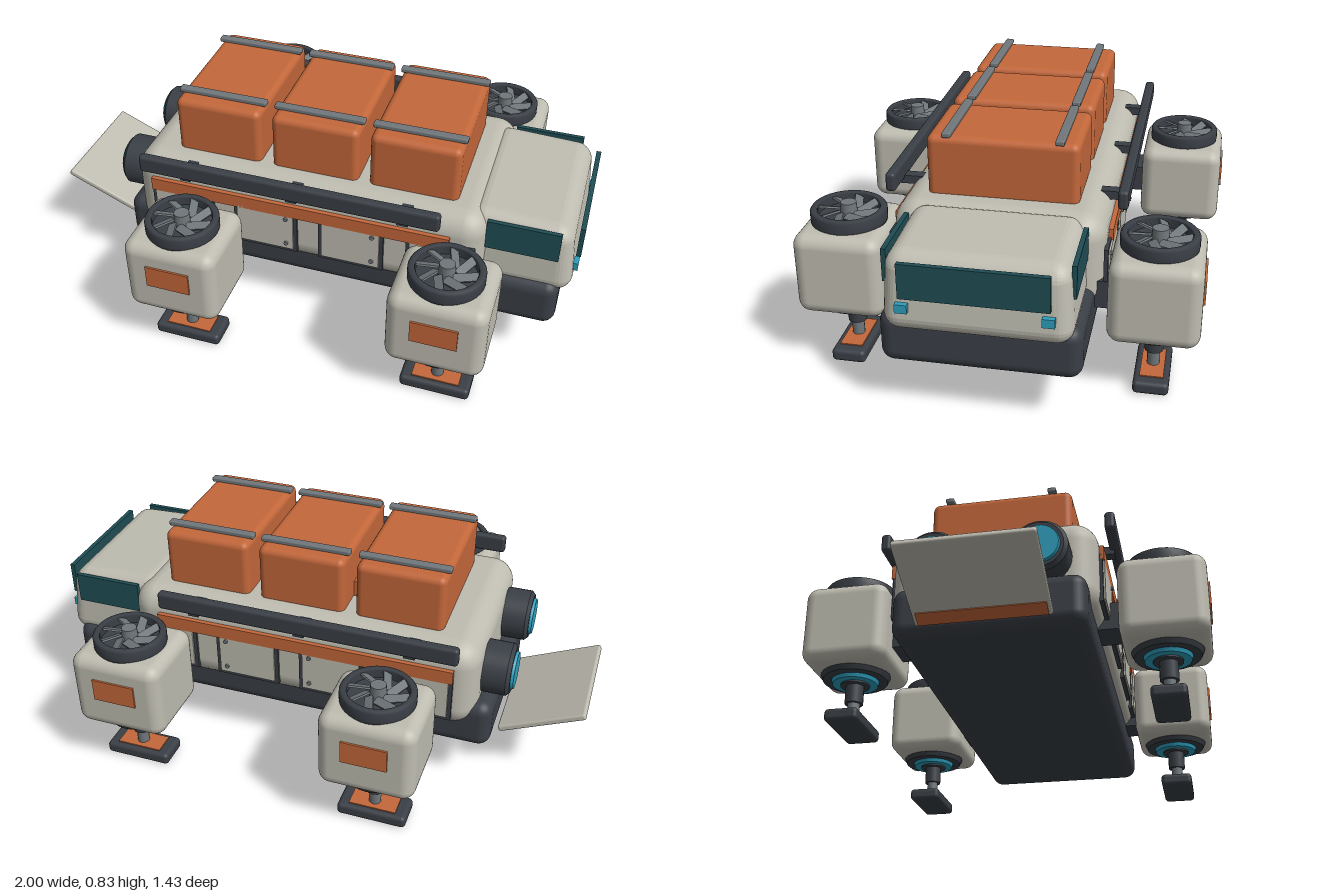
import * as THREE from 'three';
import { RoundedBoxGeometry } from 'three/addons/geometries/RoundedBoxGeometry.js';

const paint = (name, color) => {
  const m = new THREE.MeshStandardMaterial({ color });
  m.name = name;
  return m;
};

export function createModel() {
  const hullPaint = paint('hull off-white', 0xbfbdb1);
  const orange = paint('cargo orange', 0xc3673a);
  const dark = paint('dark graphite', 0x3a3f46);
  const grey = paint('metal grey', 0x70777b);
  const teal = paint('glass teal', 0x1f4d54);
  const cyan = paint('glow cyan', 0x2d9fbd);

  const model = new THREE.Group();
  model.name = 'hoverTransport';

  const add = (parent, name, geo, mat, x, y, z) => {
    const mesh = new THREE.Mesh(geo, mat);
    mesh.name = name;
    mesh.position.set(x, y, z);
    parent.add(mesh);
    return mesh;
  };
  // Rounded or plain box given by its limits on each axis
  const box = (parent, name, mat, [x0, x1], [y0, y1], [z0, z1], r = 0) => {
    const s = [x1 - x0, y1 - y0, z1 - z0];
    const geo = r ? new RoundedBoxGeometry(...s, 4, r) : new THREE.BoxGeometry(...s);
    return add(parent, name, geo, mat, (x0 + x1) / 2, (y0 + y1) / 2, (z0 + z1) / 2);
  };
  const cyl = (parent, name, mat, r0, r1, y0, y1, sides = 32) =>
    add(parent, name, new THREE.CylinderGeometry(r1, r0, y1 - y0, sides), mat, 0, (y0 + y1) / 2, 0);

  // Chassis and main hull
  box(model, 'chassis', dark, [-0.685, 0.945], [0.185, 0.37], [-0.325, 0.325], 0.045);
  box(model, 'hull', hullPaint, [-0.63, 0.68], [0.27, 0.61], [-0.355, 0.355], 0.085);

  // Cab, narrowed slightly toward the roof and sloping down to the nose
  const cab = box(model, 'cab', hullPaint, [0.6, 0.98], [0.325, 0.605], [-0.3, 0.3], 0.055);
  const p = cab.geometry.attributes.position;
  for (let i = 0; i < p.count; i++) {
    const up = Math.max(0, p.getY(i) / 0.14);
    const fore = Math.max(0, p.getX(i) / 0.19);
    p.setXYZ(i, p.getX(i) - 0.025 * up * fore, p.getY(i) - 0.015 * up * fore, p.getZ(i) * (1 - 0.05 * up));
  }
  cab.geometry.computeVertexNormals();

  // Windscreen and headlights
  box(model, 'windscreen', teal, [0.978, 0.995], [0.46, 0.58], [-0.235, 0.235]);
  for (const s of [1, -1]) {
    add(model, 'headlight', new THREE.BoxGeometry(0.025, 0.03, 0.04), cyan, 0.98, 0.422, s * 0.228);
  }

  // Cargo boxes with two straps each
  for (const x of [-0.322, 0.04, 0.4]) {
    box(model, 'cargoBox', orange, [x - 0.16, x + 0.16], [0.59, 0.815], [-0.255, 0.255], 0.025);
    for (const z of [-0.19, 0.185]) {
      box(model, 'cargoStrap', grey, [x - 0.165, x + 0.165], [0.812, 0.83], [z - 0.015, z + 0.015], 0.005);
    }
  }
  box(model, 'cargoHandle', orange, [-0.152, -0.118], [0.6, 0.67], [-0.135, 0.135]);

  // Side rails, stripes, windows, hatches and engines, the same on both sides
  for (const s of [1, -1]) {
    const side = (name, mat, x, y, z, depth, r) =>
      box(model, name, mat, x, y, [s * z - depth / 2, s * z + depth / 2], r);
    side('sideRail', dark, [-0.57, 0.53], [0.585, 0.652], 0.395, 0.035, 0.012);
    for (const x of [-0.4, 0, 0.4]) side('railBracket', dark, [x - 0.02, x + 0.02], [0.57, 0.6], 0.345, 0.1);
    side('sideStripe', orange, [-0.55, 0.56], [0.48, 0.53], 0.361, 0.02);
    side('sideWindow', teal, [0.672, 0.925], [0.475, 0.588], 0.295, 0.016);

    for (let i = 0; i < 4; i++) {
      const x = -0.55 + i * 0.32;
      side('hatchFrame', dark, [x, x + 0.24], [0.32, 0.5], 0.358, 0.014);
      side('hatchDoor', hullPaint, [x + 0.014, x + 0.226], [0.334, 0.49], 0.364, 0.014);
      for (const y of [0.36, 0.47]) {
        const bolt = add(model, 'hatchBolt', new THREE.CylinderGeometry(0.008, 0.008, 0.012, 10), grey,
          x + 0.2, y, s * 0.372);
        bolt.rotation.x = Math.PI / 2;
      }
    }

    const engine = new THREE.Group();
    engine.name = 'rearEngine';
    engine.position.set(-0.6, 0.452, s * 0.18);
    engine.rotation.z = Math.PI / 2;
    cyl(engine, 'engineHousing', dark, 0.095, 0.095, 0, 0.115);
    cyl(engine, 'engineRim', dark, 0.095, 0.082, 0.115, 0.128);
    cyl(engine, 'engineGlow', cyan, 0.07, 0.066, 0.128, 0.138);
    model.add(engine);
  }

  // Loading ramp hanging behind the chassis
  const ramp = new THREE.Group();
  ramp.name = 'loadingRamp';
  ramp.position.set(-0.85, 0.278, 0);
  ramp.rotation.z = -0.42;
  box(ramp, 'rampPlate', hullPaint, [-0.162, 0.162], [-0.012, 0.012], [-0.228, 0.222], 0.008);
  box(ramp, 'rampEdge', orange, [0.105, 0.155], [-0.016, -0.01], [-0.215, 0.21]);
  model.add(ramp);

  // Lift pod: casing, top fan, glow ring, leg and foot
  const makePod = (x, z, s) => {
    const pod = new THREE.Group();
    pod.name = 'liftPod';
    pod.position.set(x, 0, s * z);
    box(pod, 'podCasing', hullPaint, [-0.17, 0.17], [0.21, 0.505], [-0.152, 0.152], 0.045);
    add(pod, 'podPlate', new THREE.BoxGeometry(0.16, 0.085, 0.009), orange, 0, 0.383, s * 0.154);
    add(pod, 'podArm', new THREE.BoxGeometry(0.13, 0.1, 0.28), dark, 0, 0.335, -s * 0.2);

    // Fan ring and blades
    const ring = [[0.105, 0.5], [0.128, 0.5], [0.13, 0.51], [0.13, 0.542], [0.124, 0.55], [0.108, 0.55], [0.105, 0.545], [0.105, 0.5]];
    add(pod, 'fanRing', new THREE.LatheGeometry(ring.map(([r, y]) => new THREE.Vector2(r, y)), 36), dark, 0, 0, 0);
    cyl(pod, 'fanWell', dark, 0.106, 0.106, 0.5, 0.515);
    for (let i = 0; i < 8; i++) {
      const spoke = new THREE.Group();
      spoke.name = 'fanBlade';
      spoke.rotation.y = (i * Math.PI) / 4;
      const blade = add(spoke, 'blade', new THREE.BoxGeometry(0.085, 0.007, 0.03), grey, 0.066, 0.533, 0.012);
      blade.rotation.set(0.4, 0.3, 0);
      pod.add(spoke);
    }
    cyl(pod, 'fanHub', grey, 0.03, 0.027, 0.51, 0.566, 20);

    // Underside thruster
    cyl(pod, 'thrusterCollar', dark, 0.115, 0.125, 0.192, 0.215);
    cyl(pod, 'thrusterGlow', cyan, 0.08, 0.085, 0.178, 0.194);
    cyl(pod, 'thrusterCore', dark, 0.052, 0.052, 0.172, 0.18);

    // Landing leg
    cyl(pod, 'legSleeve', dark, 0.033, 0.033, 0.105, 0.18, 12);
    cyl(pod, 'legRod', grey, 0.022, 0.022, 0.04, 0.11, 12);
    box(pod, 'foot', dark, [-0.125, 0.125], [0, 0.046], [-0.06, 0.06], 0.015);
    box(pod, 'footPad', orange, [-0.085, 0.085], [0.044, 0.05], [-0.04, 0.04]);
    model.add(pod);
  };
  for (const s of [1, -1]) {
    makePod(-0.342, 0.555, s);
    makePod(0.588, 0.525, s);
  }

  return model;
}
